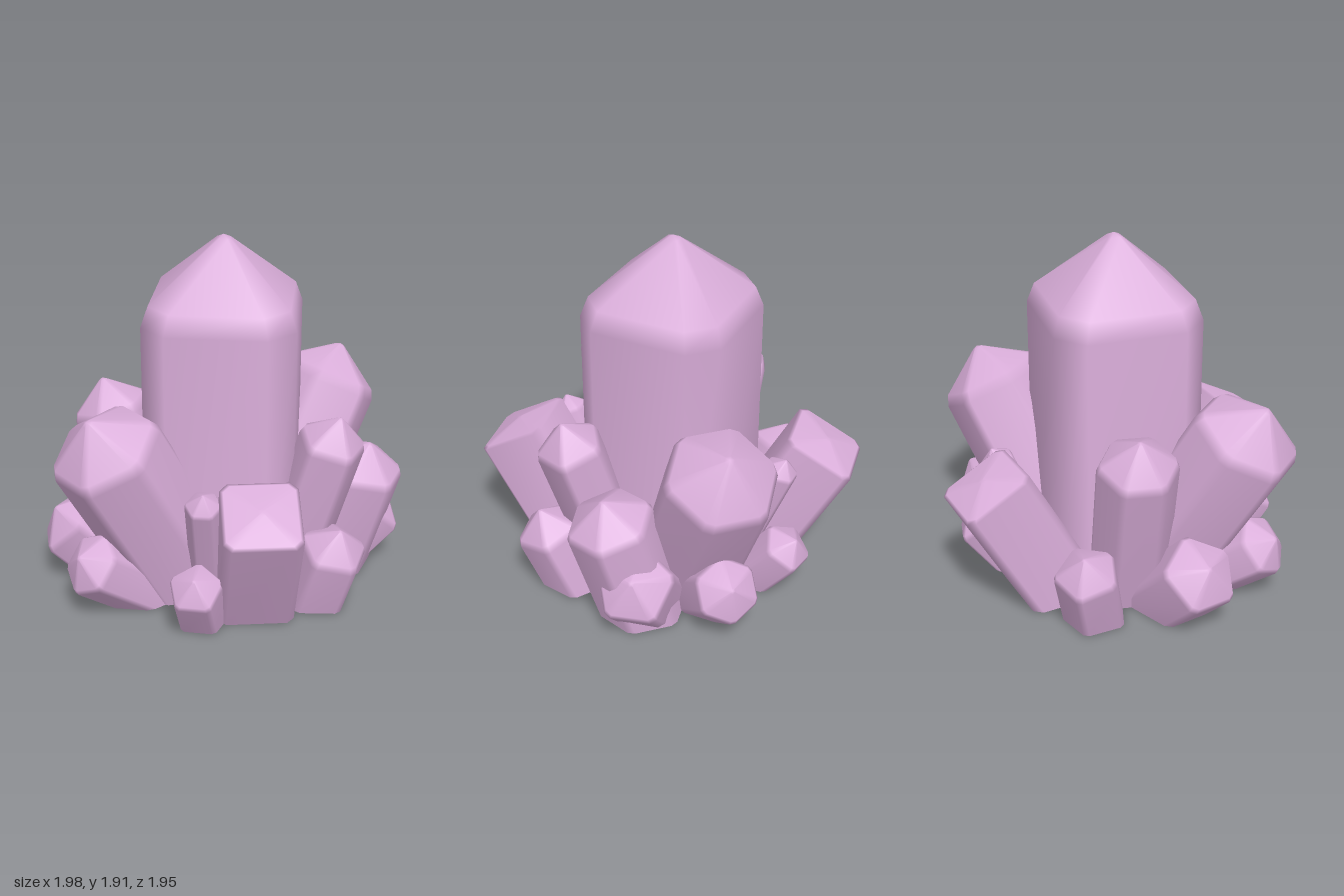
import * as THREE from 'three';

// Faceted crystal with bevelled corners, leaning from base to tip and cut level at the ground.
function crystalGeometry({ base, tip, radius, roof, sides = 6, spin = 0, bevel = 0.1 }) {
  const foot = new THREE.Vector3(...base);
  const axis = new THREE.Vector3(...tip).sub(foot);
  const length = axis.length();
  axis.normalize();
  const out = new THREE.Vector3(axis.x, 0, axis.z);
  if (out.length() < 0.01) out.set(1, 0, 0);
  out.addScaledVector(axis, -out.dot(axis)).normalize();
  const side = new THREE.Vector3().crossVectors(axis, out);

  // cross-section: each corner replaced by two points
  const corner = i => {
    const a = spin + ((i + 0.5) / sides) * Math.PI * 2;
    return new THREE.Vector2(Math.cos(a), Math.sin(a)).multiplyScalar(radius);
  };
  const section = [];
  for (let i = 0; i < sides; i++) {
    section.push(corner(i).lerp(corner(i - 1), bevel), corner(i).lerp(corner(i + 1), bevel));
  }
  const n = section.length;

  // rings: ground, two for the rounded shoulder, one for the blunt tip
  const rings = [[1, null], [1, length - 1.12 * roof], [0.91, length - 0.84 * roof], [0.09, length - 0.05 * roof]];
  const pos = [], index = [];
  for (const [scale, along] of rings) {
    for (const p of section) {
      const v = foot.clone().addScaledVector(out, p.x * scale).addScaledVector(side, p.y * scale);
      v.addScaledVector(axis, along === null ? -v.y / axis.y : along);
      pos.push(v.x, v.y, v.z);
    }
  }
  for (let r = 0; r < rings.length - 1; r++) {
    for (let i = 0; i < n; i++) {
      const a = r * n + i, b = r * n + (i + 1) % n;
      index.push(a, b, b + n, a, b + n, a + n);
    }
  }
  // tip fan
  const last = (rings.length - 1) * n, top = pos.length / 3;
  pos.push(...tip);
  for (let i = 0; i < n; i++) index.push(last + i, last + (i + 1) % n, top);
  // separate flat bottom
  const under = pos.length / 3;
  pos.push(...pos.slice(0, n * 3));
  for (let i = 1; i < n - 1; i++) index.push(under, under + i + 1, under + i);

  const g = new THREE.BufferGeometry();
  g.setAttribute('position', new THREE.Float32BufferAttribute(pos, 3));
  g.setIndex(index);
  g.computeVertexNormals();
  return g;
}

export function createModel() {
  const group = new THREE.Group();
  const lilac = new THREE.MeshStandardMaterial({ color: 0xdaaeda });
  lilac.name = 'lilac crystal';

  const add = (name, spec) => {
    const mesh = new THREE.Mesh(crystalGeometry(spec), lilac);
    mesh.name = name;
    group.add(mesh);
  };
  // the same crystal again, turned half way round the cluster
  const turned = ([x, y, z]) => [-x, y, -z];
  const addPair = (first, second, spec) => {
    add(first, spec);
    add(second, { ...spec, base: turned(spec.base), tip: turned(spec.tip) });
  };

  // tall central crystal
  add('mainCrystal', {
    base: [0.008, 0, 0], tip: [0.008, 1.91, 0], radius: 0.56, roof: 0.38,
    sides: 4, spin: -Math.PI / 4, bevel: 0.17,
  });

  // large and low crystals at both sides
  addPair('leftCrystal', 'rightCrystal', { base: [0.23, 0, 0], tip: [0.865, 1.11, 0], radius: 0.31, roof: 0.21 });
  addPair('leftLowCrystal', 'rightLowCrystal', {
    base: [0.46, 0, 0], tip: [0.95, 0.37, 0], radius: 0.18, roof: 0.1, spin: Math.PI / 6,
  });

  // square blunt pair, front right and back left of the cluster
  addPair('frontBluntCrystal', 'backBluntCrystal', {
    base: [-0.13, 0, 0.42], tip: [-0.37, 0.76, 0.76], radius: 0.28, roof: 0.04, sides: 4,
  });

  // slender pair tucked between the larger ones
  addPair('frontSlenderCrystal', 'backSlenderCrystal', {
    base: [-0.28, 0, 0.24], tip: [-0.5, 0.77, 0.46], radius: 0.1, roof: 0.08,
  });

  // squat pair, the front one merging with the wide crystal
  addPair('frontSquatCrystal', 'backSquatCrystal', {
    base: [0.42, 0, 0.27], tip: [0.78, 0.41, 0.48], radius: 0.22, roof: 0.11, sides: 5,
  });

  // front crystals
  add('frontTallCrystal', { base: [0.15, 0, 0.34], tip: [0.23, 1.06, 0.67], radius: 0.19, roof: 0.16, sides: 5, spin: 0.2 });
  add('frontWideCrystal', { base: [0.49, 0, 0.33], tip: [0.56, 0.78, 0.56], radius: 0.24, roof: 0.15, spin: 0.2 });
  add('frontSmallCrystal', { base: [0.15, 0, 0.6], tip: [0.14, 0.49, 0.79], radius: 0.19, roof: 0.14, sides: 5, spin: Math.PI / 5 });
  add('frontLowCrystal', { base: [-0.44, 0, 0.38], tip: [-0.63, 0.37, 0.55], radius: 0.15, roof: 0.09, sides: 5 });

  // back crystals
  add('backTallCrystal', { base: [-0.21, 0, -0.26], tip: [-0.41, 1.06, -0.53], radius: 0.22, roof: 0.17 });
  add('backSmallCrystal', { base: [-0.18, 0, -0.58], tip: [-0.23, 0.48, -0.79], radius: 0.18, roof: 0.13, sides: 5, spin: Math.PI / 5 });
  add('backLowCrystal', { base: [0.43, 0, -0.3], tip: [0.66, 0.36, -0.47], radius: 0.15, roof: 0.09, sides: 5 });

  return group;
}
